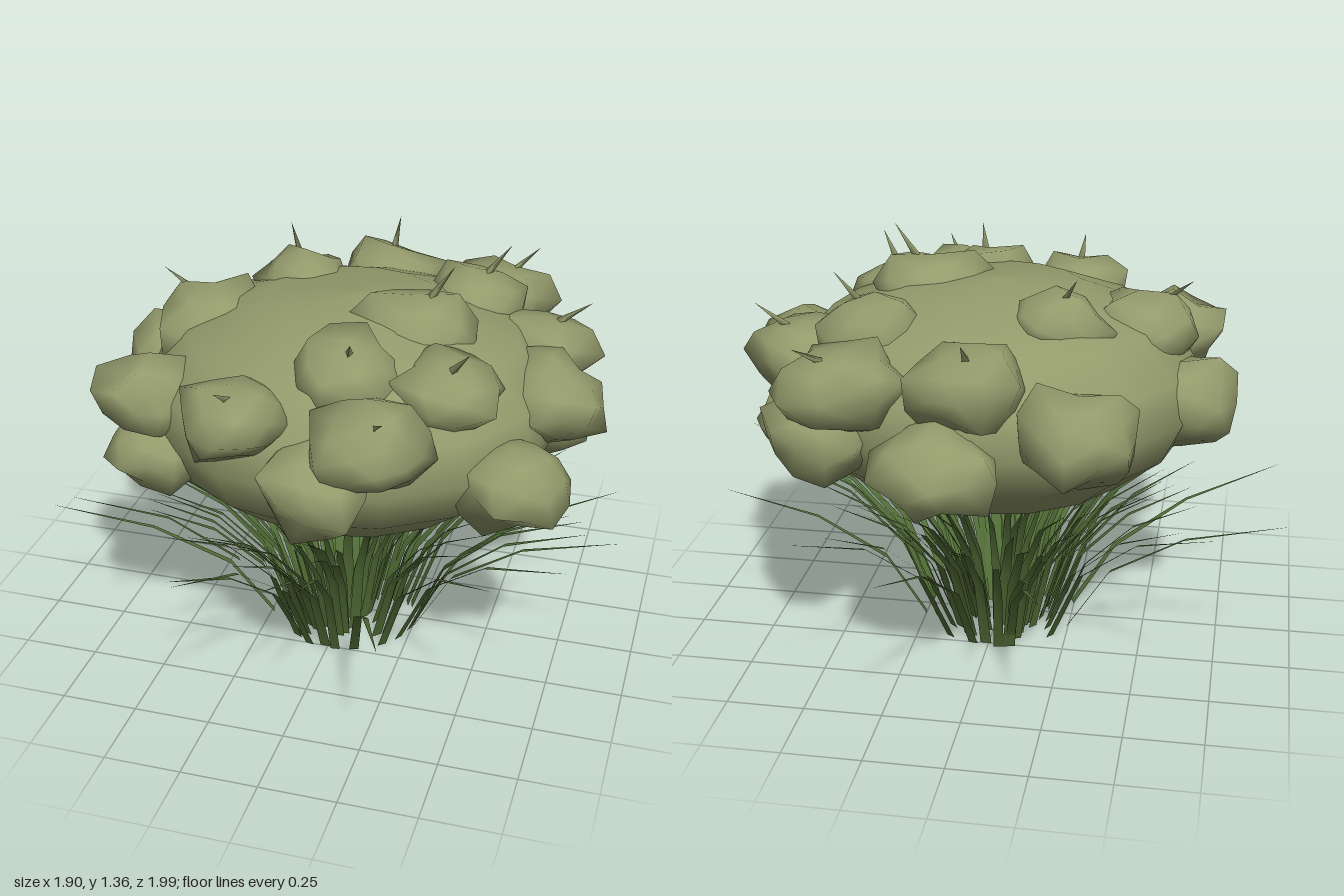
import * as THREE from 'three';
import { mergeVertices, mergeGeometries } from 'three/addons/utils/BufferGeometryUtils.js';

// Seeded random number in 0..1
function makeRandom(seed) {
  let s = seed;
  return () => {
    s = (s * 1664525 + 1013904223) % 4294967296;
    return s / 4294967296;
  };
}

// Centre x, y, z and radius of each leaf clump
const CLUMPS = [
  // front
  [-0.19, 1.01, 0.56, 0.18], [0.07, 0.86, 0.62, 0.19], [0.22, 0.98, 0.59, 0.19],
  [0.62, 0.8, 0.36, 0.18], [-0.52, 0.78, 0.4, 0.17], [-0.54, 0.94, 0.36, 0.17],
  [0.1, 1.09, 0.35, 0.17], [0.39, 1.05, 0.32, 0.17],
  // sides
  [0.67, 0.93, 0.02, 0.18], [0.62, 0.75, -0.18, 0.17], [0.59, 0.99, -0.22, 0.18],
  [-0.6, 0.87, -0.1, 0.19],
  // back
  [0.48, 0.84, -0.5, 0.18], [0.38, 1.0, -0.54, 0.19], [-0.33, 0.9, -0.56, 0.2],
  [0.08, 0.8, -0.64, 0.19], [0, 1.03, -0.54, 0.19],
  // top
  [0.35, 1.09, -0.27, 0.18], [0.24, 1.12, 0.07, 0.2], [-0.21, 1.12, -0.21, 0.16],
  [-0.45, 1.04, 0, 0.2],
];

// x and z of the longest grass tips
const LONG_TIPS = [
  [0.2, -1], [-0.26, -0.9], [-0.75, -0.64], [-0.96, -0.3], [-0.93, 0.35], [-0.74, 0.57],
  [-0.25, 0.99], [0.35, 0.94], [0.62, 0.68], [0.82, 0.52], [0.94, 0.22], [0.89, -0.22],
  [0.5, -0.83], [0.1, 0.9],
];

// Lumpy low-poly ball with smooth normals and a few protruding corners
function clumpGeometry(r, rand) {
  let g = new THREE.IcosahedronGeometry(1, 1);
  g.deleteAttribute('normal');
  g.deleteAttribute('uv');
  g = mergeVertices(g, 1e-3);
  const p = g.attributes.position;
  for (let i = 0; i < p.count; i++) {
    const k = 0.84 + rand() ** 2 * 0.42;
    p.setXYZ(i, p.getX(i) * k, p.getY(i) * k, p.getZ(i) * k);
  }
  g.rotateY(rand() * Math.PI * 2);
  g.scale(r, r * 0.74, r);
  g.computeVertexNormals();
  return g;
}

// Bent, tapering strip that leans outward; tip is reached at radius r1 and height h
function bladeGeometry(angle, r0, r1, h, width) {
  const steps = [[0, 0, 1], [0.2, 0.45, 0.85], [0.55, 0.78, 0.55], [1, 1, 0.03]];
  const c = Math.cos(angle), s = Math.sin(angle);
  const pos = [], index = [];
  steps.forEach(([out, up, w], i) => {
    const r = r0 + (r1 - r0) * out, half = width * w / 2;
    pos.push(c * r - s * half, h * up, s * r + c * half);
    pos.push(c * r + s * half, h * up, s * r - c * half);
    if (i) {
      const a = 2 * i - 2;
      index.push(a, a + 1, a + 2, a + 1, a + 3, a + 2);
    }
  });
  const g = new THREE.BufferGeometry();
  g.setAttribute('position', new THREE.Float32BufferAttribute(pos, 3));
  g.setIndex(index);
  g.computeVertexNormals();
  return g;
}

export function createModel() {
  const rand = makeRandom(11);
  const group = new THREE.Group();
  group.name = 'shrub';
  const leaf = new THREE.MeshStandardMaterial({ color: 0x939a6b });
  leaf.name = 'olive leaf';
  const grass = new THREE.MeshStandardMaterial({ color: 0x56733a, side: THREE.DoubleSide });
  grass.name = 'grass green';

  // Main flattened crown with a tapering underside
  const profile = [[0, 0.44], [0.22, 0.47], [0.46, 0.565], [0.62, 0.69], [0.69, 0.83],
    [0.66, 0.96], [0.54, 1.09], [0.29, 1.185], [0, 1.21]].map(([x, y]) => new THREE.Vector2(x, y));
  const crown = new THREE.Mesh(new THREE.LatheGeometry(profile, 16), leaf);
  crown.scale.z = 0.96;
  crown.position.x = 0.02;
  crown.name = 'crown';
  group.add(crown);

  // Leaf clumps, with a pointed leaf tip leaning outward on the upper ones
  const clumps = new THREE.Group();
  clumps.name = 'leafClumps';
  const up = new THREE.Vector3(0, 1, 0);
  for (const [x, y, z, r] of CLUMPS) {
    const clump = new THREE.Mesh(clumpGeometry(r, rand), leaf);
    clump.position.set(x, y, z);
    clump.name = 'leafClump';
    clumps.add(clump);
    if (y < 0.95) continue;
    const tip = new THREE.Mesh(new THREE.ConeGeometry(0.015, 0.13, 3), leaf);
    const dir = new THREE.Vector3(x + rand() * 0.4 - 0.2, 0.4, z + rand() * 0.4 - 0.2).normalize();
    tip.quaternion.setFromUnitVectors(up, dir);
    tip.position.set(x, y + r * 0.3, z).addScaledVector(dir, r * 0.75);
    tip.name = 'leafTip';
    clumps.add(tip);
  }
  group.add(clumps);

  // Grass tuft: long outer blades, then a ring of shorter, steeper ones
  const blades = LONG_TIPS.map(([x, z]) =>
    bladeGeometry(Math.atan2(z, x), 0.26, Math.hypot(x, z), 0.43 + rand() * 0.24, 0.032));
  const count = 90;
  for (let i = 0; i < count; i++) {
    const t = rand();
    const angle = (i + rand() * 0.8) * Math.PI * 2 * 0.381966;
    blades.push(bladeGeometry(angle, 0.07 + 0.2 * t, 0.27 + 0.55 * t + rand() * 0.1,
      0.48 + rand() * 0.18, 0.032 + rand() * 0.012));
  }
  const tuft = new THREE.Mesh(mergeGeometries(blades), grass);
  tuft.name = 'grassTuft';
  group.add(tuft);

  return group;
}
